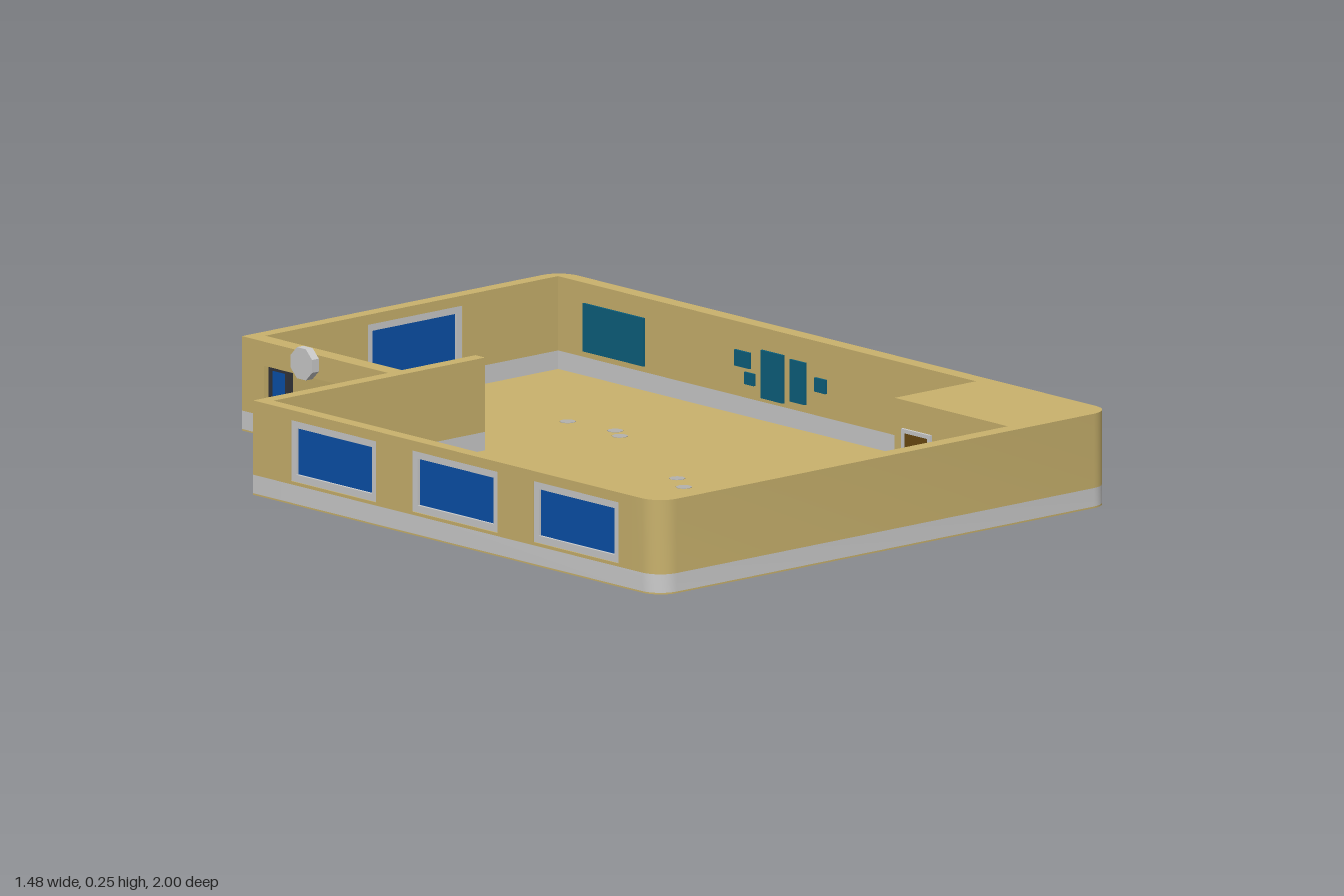
import * as THREE from 'three';
import { toCreasedNormals } from 'three/addons/utils/BufferGeometryUtils.js';

const mat = (color) => new THREE.MeshStandardMaterial({ color });
const TAN = mat(0xc9b26d), GREY = mat(0xcccccc), BLUE = mat(0x0a50a8);
const TEAL = mat(0x0c5f7c), BROWN = mat(0x6b4a12), DARK = mat(0x33343a), FLECK = mat(0xb4b2ae);

const H = 0.235, BAND = 0.05, FLOOR = 0.004, R = 0.06, RECESS = 0.012;
const DOOR = { z0: -0.92, z1: -0.6, top: 0.175 };

function add(parent, name, geometry, material) {
  const mesh = new THREE.Mesh(geometry, material);
  mesh.name = name;
  parent.add(mesh);
  return mesh;
}

// Box given by its minimum and maximum corners
function box(parent, name, material, x0, x1, y0, y1, z0, z1) {
  const mesh = add(parent, name, new THREE.BoxGeometry(x1 - x0, y1 - y0, z1 - z0), material);
  mesh.position.set((x0 + x1) / 2, (y0 + y1) / 2, (z0 + z1) / 2);
  return mesh;
}

// Extrudes a plan (x, z) upwards from y0 to y1; a true third value rounds that corner
function extrudePlan(points, y0, y1) {
  const shape = new THREE.Shape();
  const n = points.length;
  points.forEach(([x, z, round], i) => {
    const p = new THREE.Vector2(x, -z);
    if (round) {
      const towards = ([qx, qz]) => new THREE.Vector2(qx, -qz).sub(p).setLength(R).add(p);
      const a = towards(points[(i + n - 1) % n]), b = towards(points[(i + 1) % n]);
      const k = 0.552;
      const c = a.clone().lerp(p, k), d = b.clone().lerp(p, k);
      shape.lineTo(a.x, a.y);
      shape.bezierCurveTo(c.x, c.y, d.x, d.y, b.x, b.y);
    } else if (i === 0) shape.moveTo(p.x, p.y);
    else shape.lineTo(p.x, p.y);
  });
  const g = new THREE.ExtrudeGeometry(shape, { depth: y1 - y0, bevelEnabled: false, curveSegments: 8 });
  g.rotateX(-Math.PI / 2).translate(0, y0, 0);
  return toCreasedNormals(g, 0.6);
}

// Upright panel in the XY plane with rectangular openings [x0, x1, y0, y1]
function panel(x0, x1, y0, y1, depth, openings) {
  const rect = (path, a, b, c, d) => path.moveTo(a, c).lineTo(b, c).lineTo(b, d).lineTo(a, d).closePath();
  const shape = new THREE.Shape();
  rect(shape, x0, x1, y0, y1);
  for (const o of openings) {
    const hole = new THREE.Path();
    rect(hole, ...o);
    shape.holes.push(hole);
  }
  return new THREE.ExtrudeGeometry(shape, { depth, bevelEnabled: false });
}

// Wall facing with recessed, framed windows centred on the given positions
function windowWall(name, x0, x1, centres) {
  const g = new THREE.Group();
  g.name = name;
  const w = 0.155, y0 = 0.058, y1 = 0.21, f = 0.018;
  const openings = centres.map((c) => [c - w, c + w, y0, y1]);
  add(g, 'wallFacing', panel(x0, x1, BAND, H, RECESS, openings), TAN);
  for (const [a, b] of openings) {
    add(g, 'windowFrame', panel(a, b, y0, y1, RECESS * 0.75, [[a + f, b - f, y0 + f, y1 - f]]), GREY);
    box(g, 'windowGlass', BLUE, a + f, b - f, y0 + f, y1 - f, 0, 0.002);
  }
  return g;
}

export function createModel() {
  const room = new THREE.Group();
  room.name = 'room';

  const outer = [[-0.3, -0.47], [-0.74, -0.47], [-0.74, 1, true], [0.74, 1, true], [0.74, -1, true], [-0.3, -1]];
  const recessedOuter = [outer[0], [-0.74 + RECESS, -0.47], [-0.74 + RECESS, 0.9], [-0.74, 0.9], ...outer.slice(2)];

  // Wall ring, open at the doorway; the corner block and the partition belong to it
  const ring = (out, backZ) => [
    [-0.3, DOOR.z1], ...out, [-0.3, DOOR.z0], [-0.255, DOOR.z0],
    [-0.255, backZ], [0.7, backZ], [0.7, 0.55], [0.435, 0.55], [0.435, 0.96], [-0.705, 0.96],
    [-0.705, -0.435], [-0.015, -0.435], [-0.015, -0.47], [-0.255, -0.47], [-0.255, DOOR.z1],
  ];
  add(room, 'floor', extrudePlan(outer, 0, FLOOR), TAN);
  add(room, 'wallBase', extrudePlan(ring(outer, -0.965), FLOOR, BAND), GREY);
  add(room, 'walls', extrudePlan(ring(recessedOuter, -0.965 - RECESS), BAND, H), TAN);
  box(room, 'doorLintel', TAN, -0.3, -0.255, DOOR.top, H, DOOR.z0, DOOR.z1);

  // Three windows on the outer side wall, one inside the back wall
  const sideWall = windowWall('sideWindows', -0.47, 0.9, [-0.18, 0.26, 0.7]);
  sideWall.rotation.y = -Math.PI / 2;
  sideWall.position.x = -0.74 + RECESS;
  const backWall = windowWall('backWindow', -0.255, 0.7, [0.235]);
  backWall.position.z = -0.965 - RECESS;
  room.add(sideWall, backWall);

  // Sliding entrance doors, standing open
  for (const [a, b] of [[DOOR.z0, DOOR.z0 + 0.07], [DOOR.z1 - 0.07, DOOR.z1]]) {
    box(room, 'doorGlass', BLUE, -0.282, -0.273, 0.02, DOOR.top - 0.012, a + 0.01, b - 0.01);
    for (const z of [a, b - 0.01]) box(room, 'doorStile', DARK, -0.286, -0.269, FLOOR, DOOR.top, z, z + 0.01);
    for (const y of [FLOOR, DOOR.top - 0.012]) box(room, 'doorRail', DARK, -0.286, -0.269, y, y + 0.012, a, b);
  }

  // Octagonal fixture above the entrance
  const fixture = add(room, 'entranceFixture', new THREE.CylinderGeometry(0.042, 0.042, 0.022, 8).rotateY(Math.PI / 8).rotateZ(Math.PI / 2), GREY);
  fixture.material = GREY.clone();
  fixture.material.flatShading = true;
  fixture.position.set(-0.311, 0.211, -0.76);

  // Inner door on the corner block
  box(room, 'innerDoor', BROWN, 0.431, 0.436, FLOOR, 0.155, 0.59, 0.675);
  for (const z of [0.58, 0.675]) box(room, 'innerDoorJamb', GREY, 0.428, 0.436, FLOOR, 0.165, z, z + 0.01);
  box(room, 'innerDoorHead', GREY, 0.428, 0.436, 0.155, 0.165, 0.59, 0.675);

  // Flat panels on the inner long wall: z0, z1, y0, y1
  for (const [z0, z1, y0, y1] of [
    [-0.87, -0.65, 0.065, 0.185], [-0.32, -0.265, 0.125, 0.165], [-0.285, -0.25, 0.085, 0.115],
    [-0.225, -0.145, 0.06, 0.18], [-0.12, -0.065, 0.07, 0.175], [-0.03, 0.01, 0.11, 0.145],
  ]) box(room, 'wallPanel', TEAL, 0.694, 0.701, y0, y1, z0, z1);

  // Pale flecks on the floor
  for (const [x, z] of [[0.34, -0.53], [0.36, -0.38], [0.33, -0.33], [0.13, 0.1], [0.08, 0.18], [-0.48, 0.44], [-0.4, 0.54], [-0.33, 0.5]]) {
    const fleck = add(room, 'floorFleck', new THREE.CylinderGeometry(0.02, 0.02, 0.001, 8), FLECK);
    fleck.position.set(x, FLOOR + 0.0005, z);
  }
  return room;
}
